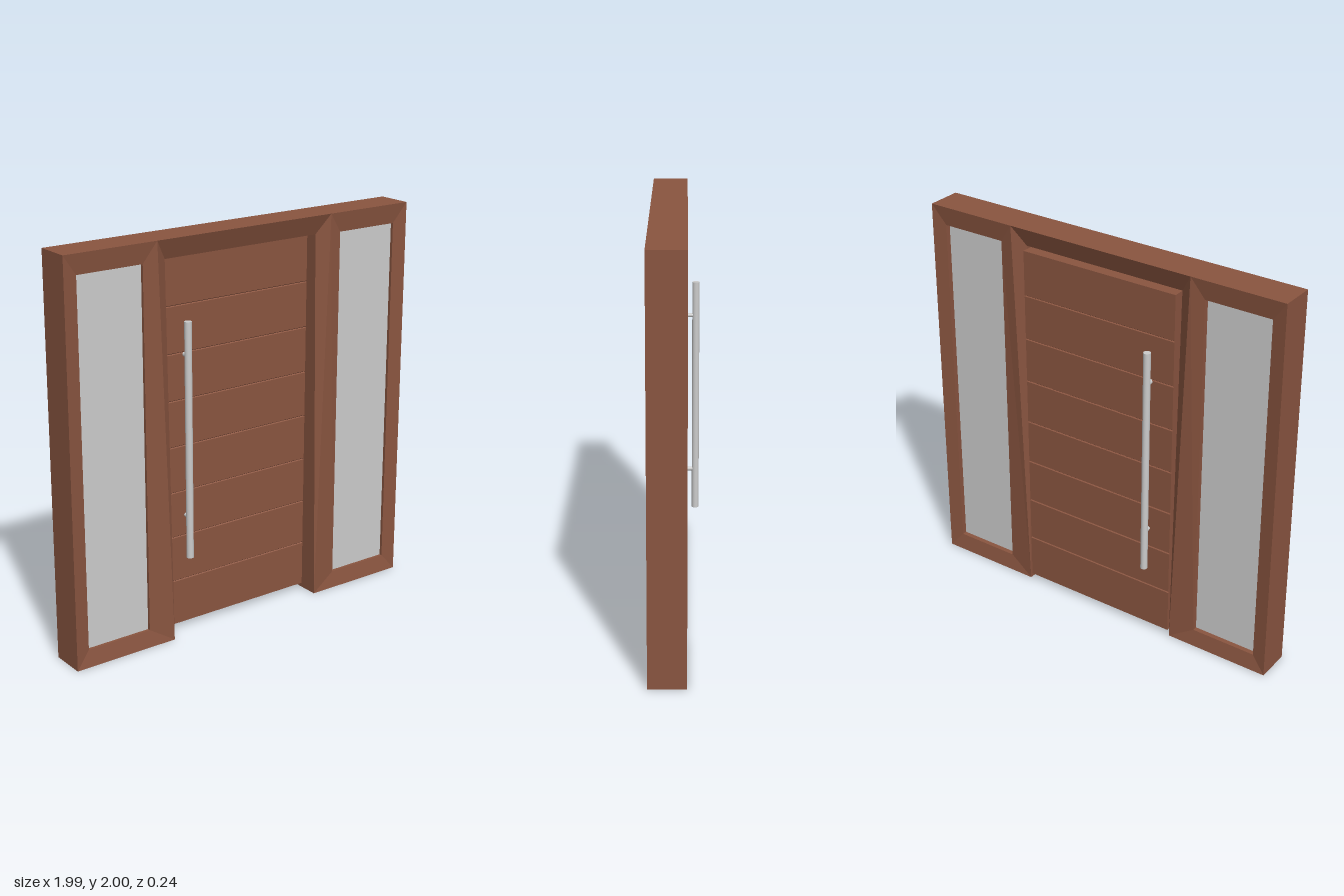
import * as THREE from 'three';

const wood = new THREE.MeshStandardMaterial({ color: 0x8a5540, flatShading: true });
const grey = new THREE.MeshStandardMaterial({ color: 0xcccccc });
const MID_Z = 0.03, HALF = 0.09;

// Frame corners on the right half: x, y, and how far each is set in from the outer faces
const P = {
  A: [-0.993, 0, 0], B: [-0.44, 0, 0], C: [-0.44, 1.9, 0.04], D: [-0.505, 2, 0], E: [-0.993, 2, 0],
  a: [-0.92, 0.085, 0.015], b: [-0.575, 0.085, 0.015], c: [-0.575, 1.9, 0.015], d: [-0.92, 1.9, 0.015],
};
const mirrorX = ([x, y, s]) => [-x, y, s];
const at = ([x, y, s], side) => [x, y, MID_Z + side * (HALF - s)];

function frameGeometry() {
  const pos = [];
  const fan = (pts) => {
    for (let i = 1; i < pts.length - 1; i++) pos.push(...pts[0], ...pts[i], ...pts[i + 1]);
  };
  // A bevelled face on the front, repeated on the back
  const face = (pts) => {
    fan(pts.map((p) => at(p, 1)));
    fan(pts.map((p) => at(p, -1)).reverse());
  };
  // Walls joining front and back along a closed outline
  const walls = (loop) => loop.forEach((p, i) => {
    const q = loop[(i + 1) % loop.length];
    fan([at(p, 1), at(p, -1), at(q, -1), at(q, 1)]);
  });

  // Members around each side window: sill, mullion (two planes), head, outer stile
  for (const f of ['ABba', 'BDcb', 'BCD', 'DEdc', 'EAad']) {
    const pts = [...f].map((k) => P[k]);
    face(pts);
    face(pts.map(mirrorX).reverse());
  }
  // Header over the door
  face([P.C, mirrorX(P.C), mirrorX(P.D), P.D]);

  // Outline of the whole frame and the two window openings
  walls([P.A, P.B, P.C, mirrorX(P.C), mirrorX(P.B), mirrorX(P.A), mirrorX(P.E), mirrorX(P.E), mirrorX(P.D), P.D, P.E]);
  const hole = [P.a, P.d, P.c, P.b];
  walls(hole);
  walls(hole.map(mirrorX).reverse());

  const g = new THREE.BufferGeometry();
  g.setAttribute('position', new THREE.Float32BufferAttribute(pos, 3));
  g.computeVertexNormals();
  return g;
}

// Door slab: side profile with V grooves on both faces, extruded across the width
function doorGeometry(width, back, front) {
  const y0 = 0.03, y1 = 1.89, n = 8, w = 0.004, depth = 0.005;
  const grooves = Array.from({ length: n - 1 }, (_, i) => y0 + ((y1 - y0) * (i + 1)) / n);
  const s = new THREE.Shape();
  s.moveTo(-back, y0);
  for (const y of grooves) {
    s.lineTo(-back, y - w);
    s.lineTo(-back - depth, y);
    s.lineTo(-back, y + w);
  }
  s.lineTo(-back, y1);
  s.lineTo(-front, y1);
  for (const y of grooves.reverse()) {
    s.lineTo(-front, y + w);
    s.lineTo(-front + depth, y);
    s.lineTo(-front, y - w);
  }
  s.lineTo(-front, y0);
  return new THREE.ExtrudeGeometry(s, { depth: width, bevelEnabled: false })
    .translate(0, 0, -width / 2)
    .rotateY(Math.PI / 2);
}

// Long bar handle on two slightly angled posts
function pullHandle(faceZ, dir) {
  const g = new THREE.Group();
  const barZ = faceZ + dir * 0.042;
  const bar = new THREE.Mesh(new THREE.CylinderGeometry(0.018, 0.018, 1.195, 24), grey);
  bar.name = 'handleBar';
  bar.position.set(-0.31, 0.9875, barZ);
  g.add(bar);
  for (const y of [0.6, 1.415]) {
    const path = new THREE.LineCurve3(
      new THREE.Vector3(-0.304, y, faceZ - dir * 0.005),
      new THREE.Vector3(-0.31, y, barZ));
    const post = new THREE.Mesh(new THREE.TubeGeometry(path, 1, 0.01, 16), grey);
    post.name = 'handlePost';
    g.add(post);
  }
  return g;
}

export function createModel() {
  const model = new THREE.Group();
  model.name = 'entranceDoor';
  const add = (name, object) => {
    object.name = name;
    model.add(object);
    return object;
  };

  add('frame', new THREE.Mesh(frameGeometry(), wood));

  // Side window panes
  for (const side of [-1, 1]) {
    const pane = add(side < 0 ? 'rightGlass' : 'leftGlass',
      new THREE.Mesh(new THREE.BoxGeometry(0.345, 1.815, 0.11), grey));
    pane.position.set(side * 0.7475, 0.9925, 0.035);
  }

  const back = -0.06, front = 0.03;
  add('doorPanel', new THREE.Mesh(doorGeometry(0.86, back, front), wood));
  add('frontHandle', pullHandle(front, 1));
  add('backHandle', pullHandle(back, -1));
  return model;
}
